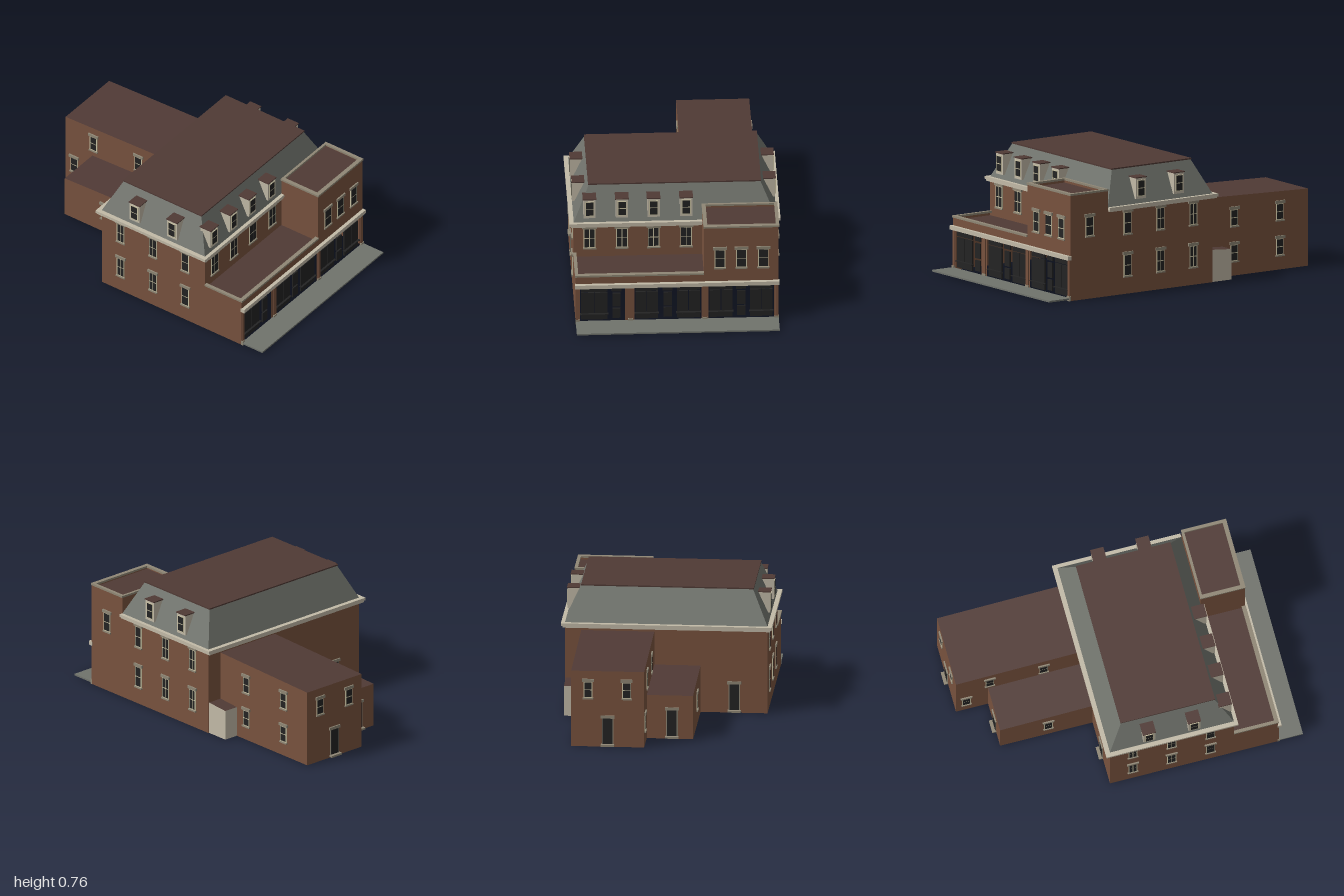
import * as THREE from 'three';

const mat = (name, color, both = true) => {
  const m = new THREE.MeshStandardMaterial({ color });
  m.name = name;
  if (both) m.side = THREE.DoubleSide;
  return m;
};

export function createModel() {
  const model = new THREE.Group();
  model.name = 'cornerShopBuilding';
  const brick = mat('brick', 0x78523e);
  const roof = mat('roofBrown', 0x503a35);
  const slate = mat('slateGrey', 0x70736c);
  const cream = mat('creamTrim', 0xc2baa7);
  const stone = mat('stone', 0x8f8775);
  const frame = mat('windowFrame', 0xccc4a4);
  const glass = mat('darkGlass', 0x232323);

  const box = (name, m, x0, x1, y0, y1, z0, z1, parent = model) => {
    const mesh = new THREE.Mesh(new THREE.BoxGeometry(x1 - x0, y1 - y0, z1 - z0), m);
    mesh.position.set((x0 + x1) / 2, (y0 + y1) / 2, (z0 + z1) / 2);
    mesh.name = name;
    parent.add(mesh);
    return mesh;
  };

  // Flat faces from four corners each, anticlockwise from outside
  const quads = (name, m, ...list) => {
    const pos = list.flatMap(([a, b, c, d]) => [a, b, c, a, c, d].flat());
    const g = new THREE.BufferGeometry();
    g.setAttribute('position', new THREE.Float32BufferAttribute(pos, 3));
    g.computeVertexNormals();
    const mesh = new THREE.Mesh(g, m);
    mesh.name = name;
    model.add(mesh);
  };
  // Upright wall from (xa,za) to (xb,zb), with its own top height at each end
  const wall = (xa, za, xb, zb, y0, ya, yb = ya) =>
    [[xa, y0, za], [xb, y0, zb], [xb, yb, zb], [xa, ya, za]];
  // Level or front-to-back sloping roof
  const deck = (x0, x1, z0, z1, yBack, yFront = yBack) =>
    [[x0, yFront, z1], [x1, yFront, z1], [x1, yBack, z0], [x0, yBack, z0]];

  const W = 0.61, BACK = -0.2, MID = 0.57, FRONT = 0.845, TX = 0.162;

  // Main block and front wing walls, open underneath
  quads('mainWalls', brick,
    wall(W, BACK, -W, BACK, 0, 0.53),
    wall(W, MID, W, BACK, 0, 0.53),
    wall(-W, BACK, -W, MID, 0, 0.53),
    wall(-W, MID, W, MID, 0.305, 0.53));
  quads('frontWingWalls', brick,
    wall(-W, MID, -W, FRONT, 0, 0.325),
    wall(W, FRONT, W, MID, 0, 0.645),
    wall(TX, MID, TX, FRONT, 0.305, 0.645),
    wall(TX, FRONT, W, FRONT, 0.325, 0.645),
    wall(W, MID, TX, MID, 0.53, 0.645));
  quads('terraceRoof', roof, deck(-W, TX, MID, FRONT, 0.305));
  quads('towerRoof', roof, deck(TX, W, MID, FRONT, 0.625));

  // Street wall with three open shop bays
  const bays = [[-0.585, -0.315], [-0.257, 0.145], [0.188, 0.581]];
  const street = new THREE.Shape([[-W, 0], [W, 0], [W, 0.325], [-W, 0.325]].map(p => new THREE.Vector2(...p)));
  for (const [a, b] of bays)
    street.holes.push(new THREE.Path([[a, 0.012], [a, 0.247], [b, 0.247], [b, 0.012]].map(p => new THREE.Vector2(...p))));
  const streetWall = new THREE.Mesh(new THREE.ShapeGeometry(street), brick);
  streetWall.name = 'streetWall';
  streetWall.position.z = FRONT;
  model.add(streetWall);

  // Shop glazing
  const pane = (a, b, y0, y1) => box('shopPane', glass, a, b, y0, y1, FRONT - 0.016, FRONT - 0.007);
  const display = (a, b) => {
    const c = (a + b) / 2;
    pane(a, b, 0.213, 0.241);
    pane(a, c - 0.002, 0.066, 0.207);
    pane(c + 0.002, b, 0.066, 0.207);
    pane(a, b, 0.022, 0.056);
    box('shopSill', glass, a - 0.006, b + 0.006, 0.058, 0.063, FRONT - 0.016, FRONT + 0.004);
  };
  const shopDoor = (a, b) => {
    pane(a - 0.005, b + 0.005, 0.213, 0.241);
    pane(a, b, 0.108, 0.2);
    pane(a, b, 0.03, 0.096);
  };
  for (const [a, b] of [[-0.577, -0.42], [-0.25, -0.115], [0, 0.137], [0.195, 0.332], [0.437, 0.573]]) display(a, b);
  for (const [a, b] of [[-0.388, -0.34], [-0.083, -0.032], [0.36, 0.41]]) shopDoor(a, b);

  // Pilasters with stone feet
  for (const [a, b] of [[-0.612, -0.588], [-0.295, -0.265], [0.152, 0.182], [0.585, 0.612]]) {
    box('pilaster', brick, a + 0.004, b - 0.004, 0.03, 0.25, FRONT, FRONT + 0.006);
    box('pilasterFoot', stone, a, b, 0, 0.03, FRONT - 0.004, FRONT + 0.01);
  }
  box('shopCornice', cream, -W - 0.004, W + 0.004, 0.25, 0.275, FRONT - 0.005, FRONT + 0.022);
  box('sidewalk', slate, -W, W, 0.008, 0.018, FRONT, 1);

  // Parapet caps
  const cap = (x0, x1, z0, z1, y) => box('parapetCap', stone, x0, x1, y - 0.012, y, z0, z1);
  cap(-W - 0.004, TX, FRONT - 0.02, FRONT + 0.005, 0.334);
  cap(-W - 0.004, -W + 0.016, MID, FRONT - 0.02, 0.334);
  cap(TX - 0.004, W + 0.004, FRONT - 0.022, FRONT + 0.004, 0.655);
  cap(TX - 0.004, W + 0.004, MID - 0.002, MID + 0.014, 0.655);
  cap(TX - 0.004, TX + 0.02, MID + 0.014, FRONT - 0.022, 0.655);
  cap(W - 0.016, W + 0.004, MID + 0.014, FRONT - 0.022, 0.655);

  // Main cornice
  const cornice = (x0, x1, z0, z1) => {
    box('corniceTop', cream, x0, x1, 0.526, 0.543, z0, z1);
    box('corniceUnder', cream, x0 * 0.985, x1 * 0.985, 0.515, 0.526, z0 + 0.004, z1 - 0.004);
  };
  cornice(-0.637, TX, MID - 0.005, 0.592);
  cornice(-0.637, -0.6, BACK - 0.028, MID);
  cornice(0.6, 0.633, BACK - 0.028, MID);
  cornice(-0.6, 0.6, BACK - 0.028, BACK + 0.01);

  // Mansard roof
  const low = [[-W, 0.543, MID], [W, 0.543, MID], [W, 0.543, BACK], [-W, 0.543, BACK]];
  const top = [[-0.515, 0.75, 0.473], [0.515, 0.75, 0.473], [0.515, 0.75, -0.105], [-0.515, 0.75, -0.105]];
  quads('mansard', slate, ...low.map((p, i) => [p, low[(i + 1) % 4], top[(i + 1) % 4], top[i]]));
  box('mansardTop', roof, -0.52, 0.52, 0.748, 0.756, -0.11, 0.478);

  // Rear wings with gently sloping roofs
  const wing = (name, x0, x1, z, yBack, yFront, m) => {
    quads(name + 'Walls', m,
      wall(x1, z, x0, z, 0, yBack),
      wall(x1, BACK, x1, z, 0, yFront, yBack),
      wall(x0, z, x0, BACK, 0, yBack, yFront));
    quads(name + 'Roof', roof, deck(x0, x1, z, BACK, yBack, yFront));
  };
  wing('tallRearWing', 0.072, 0.512, -0.975, 0.472, 0.496, brick);
  wing('lowRearWing', -0.207, 0.072, -0.775, 0.27, 0.29, brick);
  wing('rearPorch', 0.512, 0.605, -0.345, 0.186, 0.197, cream);

  // Place a part on a wall: u runs along the wall, d is the wall's offset
  const TURN = { front: 0, back: Math.PI, right: Math.PI / 2, left: -Math.PI / 2 };
  const place = (g, face, u, y, d) => {
    const along = face === 'front' || face === 'back';
    g.position.set(along ? u : d, y, along ? d : u);
    g.rotation.y = TURN[face];
    model.add(g);
  };

  // Sash window, origin at sill centre; cols panes wide, two panes high
  const sash = (g, w, h, cols) => {
    box('windowFrame', frame, -w / 2, w / 2, 0, h, -0.005, 0.004, g);
    const t = 0.005, pw = (w - t * (cols + 1)) / cols, ph = (h - t * 3) / 2;
    for (let c = 0; c < cols; c++) for (let r = 0; r < 2; r++) {
      const x = -w / 2 + t + c * (pw + t), y = t + r * (ph + t);
      box('windowPane', glass, x, x + pw, y, y + ph, -0.0055, 0.0045, g);
    }
  };
  const windowOn = (face, u, y, d, w, h, cols = 1) => {
    const g = new THREE.Group();
    g.name = 'window';
    sash(g, w, h, cols);
    box('lintel', stone, -w / 2 - 0.009, w / 2 + 0.009, h, h + 0.018, -0.004, 0.009, g);
    box('sill', stone, -w / 2 - 0.005, w / 2 + 0.005, -0.009, 0, -0.004, 0.009, g);
    place(g, face, u, y, d);
  };
  const doorOn = (u, d) => {
    const g = new THREE.Group();
    g.name = 'backDoor';
    box('doorFrame', stone, -0.035, 0.035, 0.018, 0.185, -0.004, 0.004, g);
    box('doorLeaf', glass, -0.029, 0.029, 0.018, 0.178, -0.005, 0.005, g);
    box('doorLintel', stone, -0.042, 0.042, 0.178, 0.196, -0.004, 0.008, g);
    box('doorStep', stone, -0.04, 0.04, 0.006, 0.018, 0, 0.025, g);
    place(g, 'back', u, 0, d);
  };
  const dormerOn = (face, u, d) => {
    const g = new THREE.Group();
    g.name = 'dormer';
    box('dormerBody', cream, -0.037, 0.037, 0.57, 0.698, -0.076, 0, g);
    box('dormerRoof', roof, -0.041, 0.041, 0.697, 0.703, -0.08, 0.004, g);
    const s = new THREE.Group();
    s.name = 'dormerWindow';
    s.position.y = 0.585;
    sash(s, 0.055, 0.1, 1);
    g.add(s);
    place(g, face, u, 0, d);
  };

  // Front windows and dormers
  for (const x of [-0.515, -0.32, -0.13, 0.066]) {
    windowOn('front', x, 0.366, MID, 0.07, 0.132, 2);
    dormerOn('front', x, MID);
  }
  for (const x of [0.257, 0.386, 0.518]) windowOn('front', x, 0.37, FRONT, 0.064, 0.124);

  // Side windows and dormers
  for (const [face, s] of [['right', 1], ['left', -1]]) {
    for (const z of [0.425, 0.183, -0.058]) {
      const cols = z > 0.3 ? 1 : 2;
      windowOn(face, z, 0.368, s * W, 0.056, 0.132, cols);
      windowOn(face, z, 0.11, s * W, 0.056, 0.13, cols);
    }
    for (const z of [0.325, 0.045]) dormerOn(face, z, s * W);
  }
  windowOn('right', 0.705, 0.385, W, 0.058, 0.117);

  // Rear wing windows and doors
  for (const z of [-0.43, -0.765]) {
    windowOn('right', z, 0.305, 0.512, 0.054, 0.1);
    windowOn('right', z, 0.09, 0.512, 0.054, 0.1);
    windowOn('left', z, 0.315, 0.072, 0.054, 0.1);
  }
  windowOn('left', -0.91, 0.09, 0.072, 0.054, 0.1);
  windowOn('left', -0.475, 0.1, -0.207, 0.054, 0.1);
  for (const x of [0.41, 0.177]) windowOn('back', x, 0.305, -0.975, 0.054, 0.1);
  doorOn(0.292, -0.975);
  doorOn(-0.08, -0.775);
  doorOn(-0.41, BACK);

  return model;
}
